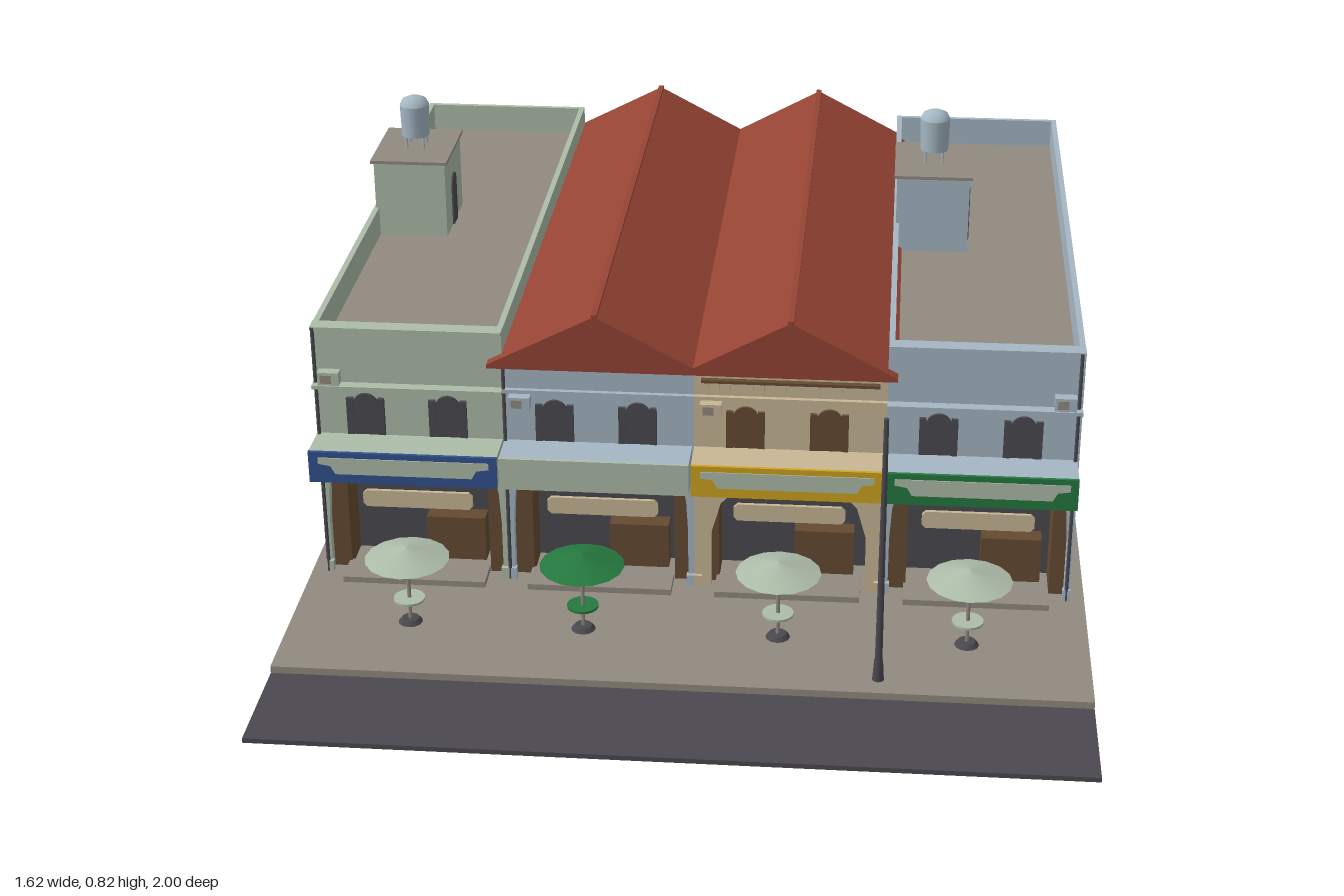
import * as THREE from 'three';

const mat = (name, color) => {
  const m = new THREE.MeshStandardMaterial({ color });
  m.name = name;
  return m;
};

export function createModel() {
  const M = {
    stone: mat('pavingStone', 0x918a80), dark: mat('darkGrey', 0x4b494f),
    red: mat('roofRed', 0x954434), green: mat('paleGreen', 0xadbca9),
    blue: mat('paleBlue', 0xa5b7c4), cream: mat('cream', 0xc8b795),
    brown: mat('woodBrown', 0x654b31), navy: mat('signBlue', 0x31528f),
    yellow: mat('signYellow', 0xcfa41f), leaf: mat('signGreen', 0x25793f),
  };
  const root = new THREE.Group();
  root.name = 'shophouseRow';
  const add = (name, geo, m, parent = root) => {
    const mesh = new THREE.Mesh(geo, m);
    mesh.name = name;
    parent.add(mesh);
    return mesh;
  };
  // box given by its extents on each axis
  const box = (name, x0, x1, y0, y1, z0, z1, m, parent) => {
    const b = add(name, new THREE.BoxGeometry(x1 - x0, y1 - y0, z1 - z0), m, parent);
    b.position.set((x0 + x1) / 2, (y0 + y1) / 2, (z0 + z1) / 2);
    return b;
  };
  // upright cylinder or cone
  const cyl = (name, x, z, y0, y1, rTop, rBottom, m, sides, parent) => {
    const c = add(name, new THREE.CylinderGeometry(rTop, rBottom, y1 - y0, sides), m, parent);
    c.position.set(x, (y0 + y1) / 2, z);
    return c;
  };
  const poly = pts => new THREE.Shape(pts.map(p => new THREE.Vector2(p[0], p[1])));
  const slab = (name, shape, depth, x, y, z, m, parent) => {
    const s = add(name, new THREE.ExtrudeGeometry(shape, { depth, bevelEnabled: false, curveSegments: 8 }), m, parent);
    s.position.set(x, y, z);
    return s;
  };
  const arch = (w, h) => {
    const r = w / 2, s = new THREE.Shape();
    s.moveTo(-r, 0);
    s.lineTo(r, 0);
    s.lineTo(r, h - r);
    s.absarc(0, h - r, r, 0, Math.PI, false);
    return s;
  };
  const octagon = (w, h, c) => poly([[-w + c, -h], [w - c, -h], [w, -h + c], [w, h - c],
    [w - c, h], [-w + c, h], [-w, h - c], [-w, -h + c]]);

  // ground
  box('pavement', -0.81, 0.81, 0.005, 0.025, -1, 0.77, M.stone);
  box('road', -0.81, 0.81, 0, 0.01, 0.765, 1, M.dark);

  const G = 0.025, EAVE = 0.525, TOP = 0.59, BACK = -0.965, FRONT = 0.385, SHOP = 0.28;
  const units = [
    { x: -0.585, wall: M.green, sign: M.navy, win: M.dark, backDoor: M.stone, outer: -1 },
    { x: -0.195, wall: M.blue, sign: M.green, win: M.dark, backDoor: M.dark, outer: 0 },
    { x: 0.195, wall: M.cream, sign: M.yellow, win: M.brown, backDoor: M.dark, outer: 0 },
    { x: 0.585, wall: M.blue, sign: M.leaf, win: M.dark, backDoor: M.dark, outer: 1 },
  ];
  const H = 0.195; // half the width of a house

  units.forEach((u, i) => {
    const g = new THREE.Group();
    g.name = 'house' + (i + 1);
    g.position.x = u.x;
    root.add(g);
    const top = u.outer ? TOP : EAVE;

    // main block with grey party walls, dark shopfront and painted rear
    box('houseBody', -H, H, G, EAVE, BACK, SHOP, [M.stone, M.stone, M.stone, M.stone, M.dark, u.wall], g);
    box('upperFloor', -H, H, 0.25, EAVE, SHOP, 0.36, M.stone, g);
    for (const s of [-1, 1])
      box('partyWall', s > 0 ? H - 0.012 : -H, s > 0 ? H : -H + 0.012, G, 0.25, SHOP, 0.36, M.stone, g);

    // front wall with the wide shop opening
    const o = i === 2 ? 0.14 : 0.178, c = i === 2 ? 0.02 : 0.004;
    slab('frontWall', poly([[-H, G], [-o - c, G], [-o - c, 0.15], [-o, 0.22], [-o + c, 0.24],
      [o - c, 0.24], [o, 0.22], [o + c, 0.15], [o + c, G], [H, G], [H, top], [-H, top]]),
    0.025, 0, 0, 0.36, u.wall, g);

    // shop interior: folding doors, counter, hanging board, step
    box('leftShutter', -0.187, -0.145, G, 0.24, SHOP, 0.365, M.brown, g);
    if (i !== 2) box('rightShutter', 0.152, 0.187, G, 0.24, SHOP, 0.365, M.brown, g);
    box('counter', 0.01, 0.135, G, 0.125, SHOP, 0.32, M.brown, g);
    slab('shopBoard', octagon(0.116, 0.019, 0.008), 0.008, 0.0, 0.182, 0.345, M.cream, g);
    box('frontStep', -0.15, 0.15, G, 0.038, 0.36, 0.435, M.stone, g);
    for (const s of [-1, 1])
      box('columnFoot', s * 0.187 - 0.008, s * 0.187 + 0.008, G, 0.05, 0.38, 0.393, u.wall, g);

    // canopy with painted sign board
    box('canopy', -H, H - 0.004, 0.285, 0.35, 0.38, 0.469, i === 3 ? [M.cream, M.cream, u.wall, u.wall, u.wall, u.wall] : u.wall, g);
    box('signBoard', -H, H - 0.004, 0.283, 0.352, 0.469, 0.476, u.sign, g);
    if (i !== 1) {
      slab('signPanel', poly([[-0.14, -0.018], [0.14, -0.018], [0.15, 0], [0.175, 0.004], [0.175, 0.018],
        [-0.175, 0.018], [-0.175, 0.004], [-0.15, 0]]), 0.003, 0, 0.322, 0.475, M.green, g);
    }

    // upper windows with side shutters
    for (const x of [-0.09, 0.08]) {
      slab('frontWindow', arch(0.052, 0.092), 0.007, x, 0.353, FRONT - 0.001, u.win, g);
      for (const s of [-1, 1])
        box('windowShutter', x + s * 0.032 - 0.007, x + s * 0.032 + 0.007, 0.353, 0.435, FRONT, FRONT + 0.008, u.win, g);
    }

    // cornice, dentils and air conditioner
    box('cornice', -H, H, 0.46, 0.468, FRONT, u.outer ? 0.408 : 0.395, u.wall, g);
    if (i === 2) {
      for (let k = 0; k < 16; k++) {
        const x = -0.17 + k * 0.0225;
        box('dentil', x - 0.005, x + 0.005, 0.483, 0.5, FRONT, 0.396, M.cream, g);
      }
      box('dentilRail', -0.18, 0.18, 0.5, 0.506, FRONT, 0.398, M.brown, g);
    }
    const ax = i === 3 ? 0.16 : -0.16, ay = u.outer ? 0.469 : 0.428;
    box('airConditioner', ax - 0.022, ax + 0.022, ay, ay + 0.028, FRONT, 0.407, u.wall, g);
    box('airConditionerGrille', ax - 0.016, ax + 0.006, ay + 0.005, ay + 0.023, 0.406, 0.409, M.stone, g);

    // rear door and windows
    slab('rearDoor', arch(0.046, 0.15), 0.008, 0.095, G, BACK - 0.006, u.backDoor, g);
    for (const y of [0.145, 0.385])
      slab('rearWindow', octagon(0.031, 0.038, 0.016), 0.008, -0.08, y, BACK - 0.006, M.dark, g);

    if (!u.outer) return;
    // parapet around the flat roof
    const t = 0.012;
    box('leftParapet', H - t, H, EAVE, TOP, BACK, 0.36, u.wall, g);
    box('rightParapet', -H, -H + t, EAVE, TOP, BACK, 0.36, u.wall, g);
    box('rearParapet', -H + t, H - t, EAVE, TOP, BACK, BACK + t, u.wall, g);
    box('parapetCap', -H, H, TOP - 0.005, TOP + 0.002, 0.358, 0.392, u.wall, g);

    // stair hut with water tank
    const hut = new THREE.Group();
    hut.name = 'stairHut';
    hut.position.set(-0.11, 0, -0.362);
    g.add(hut);
    box('hutWalls', -0.08, 0.08, EAVE, 0.7, -0.1, 0.1, u.wall, hut);
    box('hutRoof', -0.086, 0.086, 0.698, 0.705, -0.108, 0.108, M.stone, hut);
    const door = slab('hutDoor', arch(0.045, 0.118), 0.006, 0.078, EAVE, 0.005, M.dark, hut);
    door.rotation.y = Math.PI / 2;
    for (const sx of [-1, 1]) for (const sz of [-1, 1])
      cyl('tankLeg', sx * 0.019, sz * 0.019, 0.7, 0.74, 0.003, 0.003, M.blue, 6, hut);
    const tank = add('waterTank', new THREE.LatheGeometry([[0, 0.733], [0.031, 0.733], [0.031, 0.733], [0.033, 0.805],
      [0.033, 0.805], [0.027, 0.817], [0.014, 0.823], [0, 0.825]].map(p => new THREE.Vector2(p[0], p[1])), 20), M.blue, hut);
    tank.position.z = 0.005;
  });

  // twin gabled roof over the middle houses
  slab('gableRoof', poly([[-0.418, 0.522], [0.41, 0.522], [0.41, 0.53], [0.195, 0.643], [0, 0.538],
    [-0.198, 0.643], [-0.418, 0.53]]), 1.39, 0, 0, -0.98, M.red);
  for (const x of [-0.198, 0.195])
    box('ridgeCap', x - 0.006, x + 0.006, 0.637, 0.647, -0.98, 0.41, M.red);

  // drainpipes
  for (const x of [-0.775, -0.388, 0.772])
    cyl('drainpipe', x, 0.39, G, x < -0.5 || x > 0.5 ? TOP : EAVE, 0.004, 0.004, M.dark, 6);

  // café tables with parasols
  [-0.565, -0.21, 0.185, 0.565].forEach((x, i) => {
    const m = i === 1 ? M.leaf : M.green;
    const p = new THREE.Group();
    p.name = 'parasolTable' + (i + 1);
    p.position.set(x, 0, 0.578);
    root.add(p);
    cyl('parasolCanopy', 0, 0, 0.173, 0.199, 0.002, 0.086, m, 16, p);
    cyl('parasolPole', 0, 0, G, 0.18, 0.004, 0.004, M.stone, 8, p);
    cyl('tableTop', 0, 0, 0.077, 0.082, 0.032, 0.032, m, 16, p);
    cyl('parasolFoot', 0, 0, G, 0.034, 0.018, 0.025, M.dark, 12, p);
  });

  // street post
  cyl('streetPost', 0.39, 0.72, G, 0.597, 0.005, 0.008, M.dark, 10);
  cyl('streetPostFoot', 0.39, 0.72, G, 0.07, 0.009, 0.012, M.dark, 10);
  return root;
}
